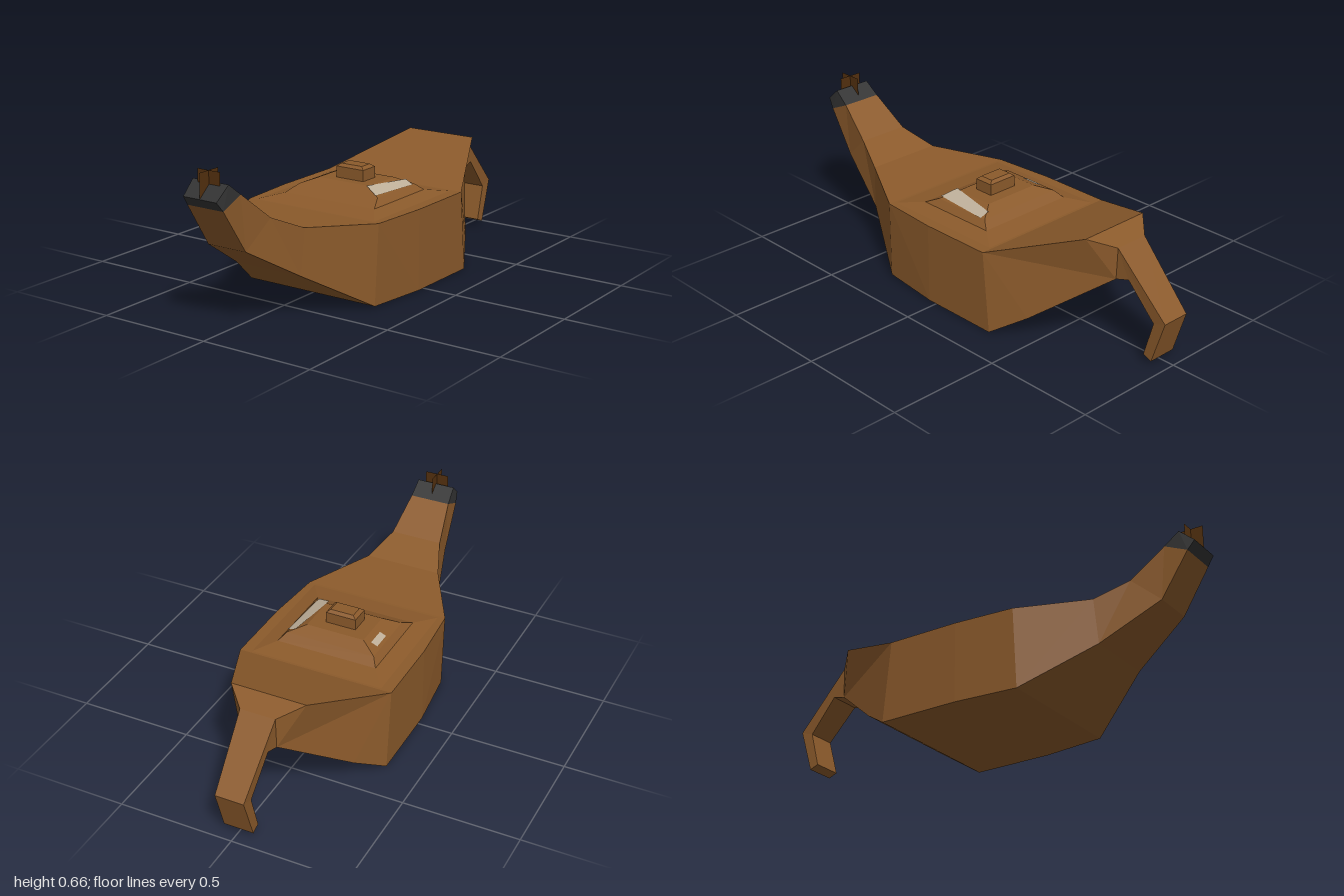
import * as THREE from 'three';

const mat = (name, color, extra = {}) => {
  const m = new THREE.MeshStandardMaterial({ color, flatShading: true, ...extra });
  m.name = name;
  return m;
};

// Skin a row of four-cornered rings and cap both ends
function loft(rings) {
  const pos = [];
  const tri = (...pts) => pts.forEach((p) => pos.push(...p));
  for (let i = 0; i < rings.length - 1; i++) {
    const a = rings[i], b = rings[i + 1];
    for (let k = 0; k < 4; k++) {
      const n = (k + 1) % 4;
      if (k === 2) { // mirrored diagonal on the far side
        tri(a[k], a[n], b[k]);
        tri(a[n], b[n], b[k]);
      } else {
        tri(a[k], a[n], b[n]);
        tri(a[k], b[n], b[k]);
      }
    }
  }
  const s = rings[0], e = rings[rings.length - 1];
  tri(s[0], s[3], s[2]); tri(s[0], s[2], s[1]);
  tri(e[0], e[1], e[2]); tri(e[0], e[2], e[3]);
  return fromPositions(pos);
}

function fromPositions(pos) {
  const g = new THREE.BufferGeometry();
  g.setAttribute('position', new THREE.Float32BufferAttribute(pos, 3));
  g.computeVertexNormals();
  return g;
}

// Section across the length: top point and half width, bottom point and half width
const section = ([tx, ty, tw, bx, by, bw]) =>
  [[tx, ty, tw], [bx, by, bw], [bx, by, -bw], [tx, ty, -tw]];

// Level rectangle
const level = ([x0, x1, z, y]) => [[x0, y, z], [x1, y, z], [x1, y, -z], [x0, y, -z]];

export function createModel() {
  const group = new THREE.Group();
  const clay = mat('brown clay', 0x8b5a2b);
  const soot = mat('soot black', 0x333333);
  const wickBrown = mat('dark brown', 0x53300f, { side: THREE.DoubleSide });
  const pale = mat('pale glint', 0xbfb09a, { side: THREE.DoubleSide });
  const add = (name, geometry, material) => {
    const mesh = new THREE.Mesh(geometry, material);
    mesh.name = name;
    group.add(mesh);
    return mesh;
  };

  const collarBack = [-0.87, 0.56, 0.09, -0.97, 0.515, 0.087];
  const tail = [0.76, 0.452, 0.077, 0.755, 0.315, 0.077];

  // Bowl with drawn-out spout and raised stern
  add('body', loft([
    collarBack,
    [-0.725, 0.44, 0.115, -0.85, 0.33, 0.092],
    [-0.585, 0.375, 0.17, -0.6, 0.18, 0.16],
    [-0.305, 0.35, 0.325, -0.315, 0.005, 0.315],
    [-0.04, 0.35, 0.345, -0.04, 0.002, 0.345],
    [0.285, 0.35, 0.345, 0.32, 0, 0.345],
    [0.285, 0.35, 0.345, 0.46, 0.09, 0.265],
    [0.67, 0.488, 0.165, 0.755, 0.315, 0.077],
    tail,
  ].map(section)), clay);

  // Blackened spout tip
  add('spoutTip', loft([
    [-0.935, 0.611, 0.086, -1, 0.555, 0.08],
    collarBack,
  ].map(section)), soot);

  // Bent handle
  add('handle', loft([
    tail,
    [0.762, 0.45, 0.077, 0.815, 0.332, 0.072],
    [1, 0.206, 0.063, 0.942, 0.187, 0.063],
    [0.94, 0.018, 0.065, 0.9, 0.034, 0.065],
  ].map(section)), clay);

  // Stepped lid on the deck
  add('lid', loft([
    [-0.3, 0.28, 0.3, 0.349],
    [-0.19, 0.18, 0.225, 0.366],
    [-0.13, 0.145, 0.2, 0.395],
    [-0.085, 0.095, 0.13, 0.424],
  ].map(level)), clay);

  // Bevelled knob
  add('lidKnob', loft([
    [-0.043, 0.043, 0.068, 0.415],
    [-0.043, 0.043, 0.068, 0.472],
    [-0.03, 0.03, 0.052, 0.484],
  ].map(level)), clay);

  // Pale patches lying on the sloping lid sides
  const slopeY = (z) => 0.424 - (Math.abs(z) - 0.13) * 0.414 + 0.004;
  const patch = (name, corners) => {
    const p = corners.map(([x, z]) => [x, Math.min(slopeY(z), 0.428), z]);
    add(name, fromPositions([0, 1, 2, 0, 2, 3].flatMap((i) => p[i])), pale);
  };
  patch('frontPatch', [[-0.13, 0.19], [0.125, 0.205], [0.13, 0.165], [-0.1, 0.125]]);
  patch('backPatch', [[0, -0.16], [0.085, -0.16], [0.085, -0.188], [0, -0.188]]);

  // Wick of two crossed upright planes
  for (const turn of [0, Math.PI / 2]) {
    const blade = add('wick', new THREE.PlaneGeometry(0.108, 0.1), wickBrown);
    blade.position.set(-0.945, 0.606, 0);
    blade.rotation.y = turn;
  }
  return group;
}
